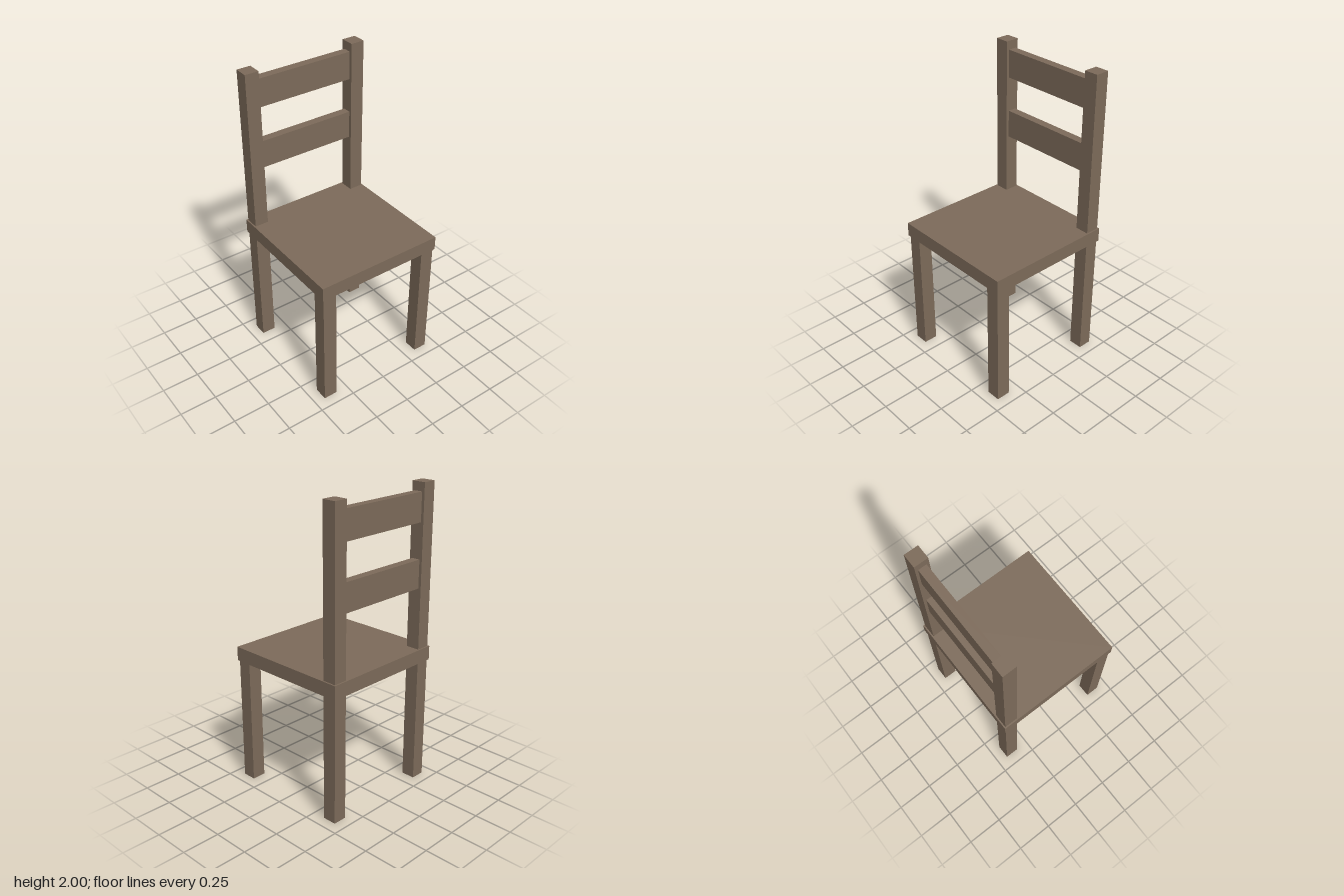
import * as THREE from 'three';

export function createModel() {
  const chair = new THREE.Group();
  chair.name = 'chair';

  const wood = new THREE.MeshStandardMaterial({ color: 0x7d6b5a });
  wood.name = 'brown wood';

  // Box resting on the height "bottom"
  function addBox(name, width, height, depth, x, bottom, z) {
    const mesh = new THREE.Mesh(new THREE.BoxGeometry(width, height, depth), wood);
    mesh.name = name;
    mesh.position.set(x, bottom + height / 2, z);
    chair.add(mesh);
  }

  const seatBottom = 0.842, seatThickness = 0.093, seatSize = 0.874;
  const legSize = 0.093, legOffset = 0.381;

  // Seat
  addBox('seat', seatSize, seatThickness, seatSize, 0, seatBottom, 0);

  // Front legs stop under the seat; rear posts run up to form the back
  for (const [side, sign] of [['left', 1], ['right', -1]]) {
    addBox(`${side}FrontLeg`, legSize, seatBottom, legSize, sign * legOffset, 0, legOffset);
    addBox(`${side}RearPost`, legSize, 2, legSize, sign * legOffset, 0, -legOffset);
  }

  // Back slats between the posts
  const slatWidth = 2 * legOffset - legSize;
  addBox('lowerBackSlat', slatWidth, 0.186, 0.056, 0, 1.339, -legOffset);
  addBox('upperBackSlat', slatWidth, 0.186, 0.056, 0, 1.757, -legOffset);

  return chair;
}
